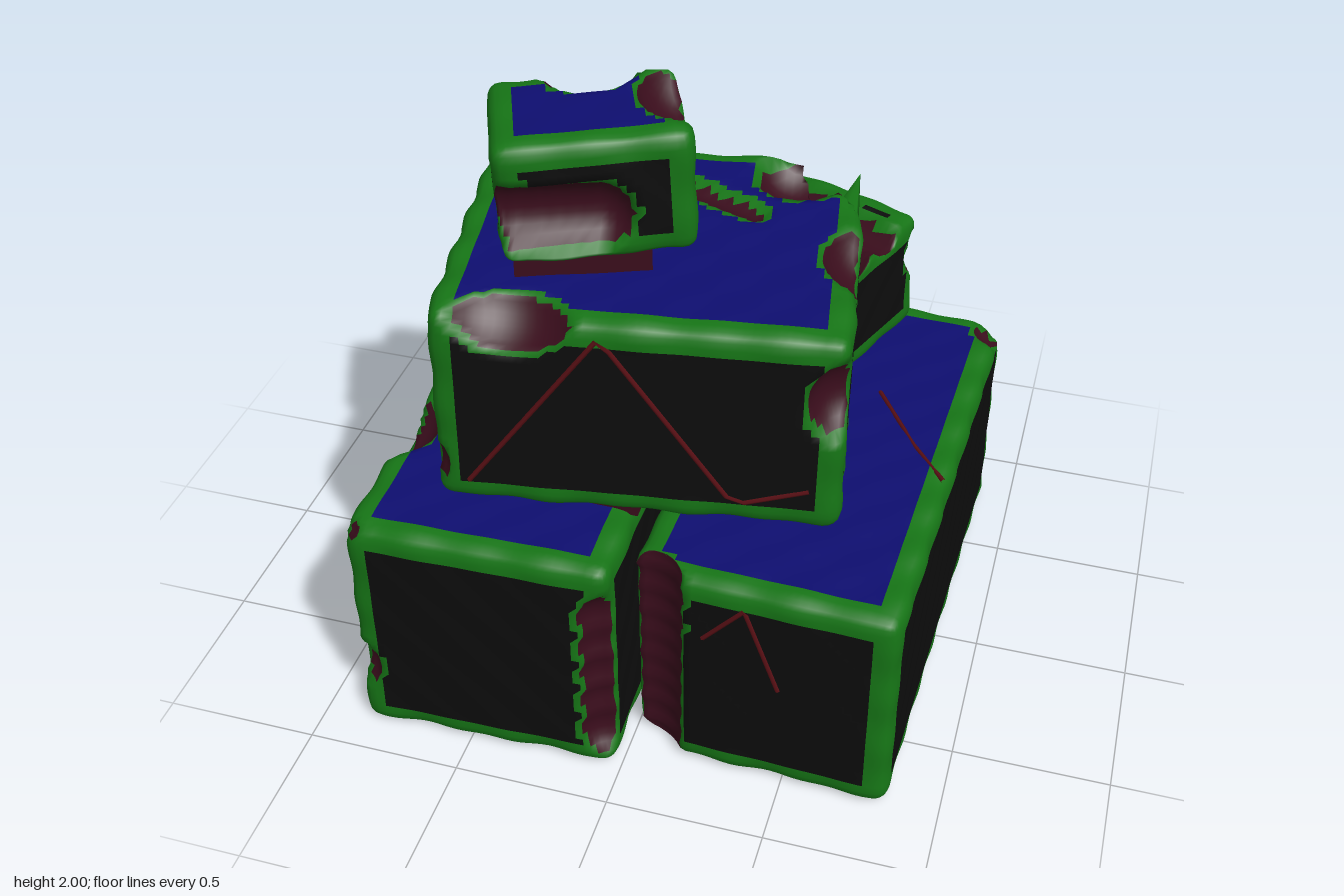
import * as THREE from 'three';
import { mergeVertices } from 'three/addons/utils/BufferGeometryUtils.js';

const COLORS = { face: 0x0d0d0d, rim: 0x167516, top: 0x0e0e70, chip: 0x3a0d1c, crack: 0x5a1015 };
const mat = {};
for (const k in COLORS) mat[k] = new THREE.MeshStandardMaterial({ color: COLORS[k] });

const V = (a) => new THREE.Vector3(...a);
const wobble = (p) => Math.sin(p.x * 23 + p.y * 17) * Math.sin(p.z * 29 + p.y * 13 + p.x * 7);

// Row of equal dents between two points
function row(a, b, n, r, dir) {
  const list = [];
  for (let i = 0; i < n; i++) list.push([V(a).lerp(V(b), i / (n - 1)).toArray(), r, dir]);
  return list;
}

// Worn stone block: rounded box with spherical chips [centre, radius, direction],
// split into faces, rims, top and chip surfaces
function block(name, { size, pos, turn, roll = 0, r = 0.05, dents = [], blueTop = false }) {
  const cell = 0.025;
  const half = V(size).multiplyScalar(0.5);
  let geo = new THREE.BoxGeometry(...size, ...size.map((s) => Math.round(s / cell)));
  geo.deleteAttribute('normal');
  geo.deleteAttribute('uv');
  geo = mergeVertices(geo, 1e-4);
  const centre = V(pos);
  const matrix = new THREE.Matrix4().makeRotationFromEuler(new THREE.Euler(0, turn, roll, 'YXZ')).setPosition(centre);
  const inner = half.clone().subScalar(r);
  const P = geo.attributes.position, p = new THREE.Vector3(), q = new THREE.Vector3();
  const kind = [];
  for (let i = 0; i < P.count; i++) {
    p.fromBufferAttribute(P, i);
    const gaps = ['x', 'y', 'z'].map((k) => half[k] - Math.abs(p[k])).sort((a, b) => a - b);
    kind[i] = gaps[1] < 0.07 ? 'rim' : blueTop && p.y > half.y - 0.01 ? 'top' : 'face';
    // Round the edges and wear them slightly
    q.copy(p).clamp(inner.clone().negate(), inner);
    p.sub(q).normalize().multiplyScalar(r + wobble(q) * (gaps[1] < 0.07 ? 0.006 : 0.002)).add(q);
    p.applyMatrix4(matrix);
    // Push points inside a chip to its far wall
    for (const [c, rad, dir] of dents) {
      const cv = V(c), d = (dir ? V(dir) : centre.clone().sub(cv)).normalize();
      q.copy(p).sub(cv);
      const gap = rad * rad - q.lengthSq();
      if (gap <= 0) continue;
      const along = q.dot(d);
      p.addScaledVector(d, -along + Math.sqrt(along * along + gap));
      kind[i] = 'chip';
    }
    P.setXYZ(i, p.x, Math.max(p.y, 0), p.z);
  }
  geo.computeVertexNormals();
  const parts = { face: [], rim: [], top: [], chip: [] };
  const idx = geo.index.array;
  for (let i = 0; i < idx.length; i += 3) {
    const tri = [idx[i], idx[i + 1], idx[i + 2]];
    const k = tri.map((v) => kind[v]);
    const same = k[0] === k[1] && k[1] === k[2];
    parts[same ? k[0] : 'rim'].push(...tri);
  }
  const group = new THREE.Group();
  group.name = name;
  for (const k in parts) {
    if (!parts[k].length) continue;
    const g = new THREE.BufferGeometry();
    g.setAttribute('position', P);
    g.setAttribute('normal', geo.attributes.normal);
    g.setIndex(parts[k]);
    const m = new THREE.Mesh(g, mat[k]);
    m.name = name + k[0].toUpperCase() + k.slice(1);
    group.add(m);
  }
  return group;
}

// Thin crack line following points on a surface
function crack(points) {
  const path = new THREE.CurvePath();
  for (let i = 1; i < points.length; i++) path.add(new THREE.LineCurve3(V(points[i - 1]), V(points[i])));
  const m = new THREE.Mesh(new THREE.TubeGeometry(path, 24, 0.008, 5), mat.crack);
  m.name = 'crack';
  return m;
}

export function createModel() {
  const model = new THREE.Group();
  model.name = 'stonePile';

  // Two long base blocks
  model.add(block('baseBlockRight', {
    size: [0.84, 0.82, 1.74], pos: [-0.46, 0.41, 0], turn: 0.023, blueTop: true,
    dents: [
      ...row([0.0, 0.15, 0.93], [0.0, 0.62, 0.93], 5, 0.14, [-0.7, 0, -0.7]),
      [[-0.9, 0.25, 0.93], 0.13, [0.7, 0, -0.7]],
      [[-0.93, 0.88, 0.36], 0.19, [0.7, -0.7, 0]],
      [[-0.02, 0.9, -0.6], 0.18, [-0.7, -0.7, 0]],
      [[-0.9, 0.86, 0.9], 0.12],
    ],
  }));
  model.add(block('baseBlockLeft', {
    size: [0.83, 0.77, 1.61], pos: [0.45, 0.385, -0.035], turn: -0.037, blueTop: true,
    dents: [
      ...row([0.04, 0.0, 0.8], [0.05, 0.77, 0.8], 9, 0.14, [0.5, 0, -0.8]),
      [[0.92, 0.83, -0.78], 0.14],
      [[0.05, 0.6, -0.88], 0.11, [0.7, 0, 0.7]],
    ],
  }));

  // Wide middle block with a broken rear corner and a grooved top
  model.add(block('middleBlock', {
    size: [1.21, 0.68, 1.03], pos: [-0.085, 1.2, 0.11], turn: 0.165, roll: -0.015, blueTop: true,
    dents: [
      [[0.5, 1.26, -0.46], 0.36, [-0.65, 0, 0.75]],
      ...row([-0.44, 1.57, -0.31], [0.17, 1.57, -0.08], 22, 0.06, [0, -1, 0]),
      [[-0.34, 1.65, 0.75], 0.24, [0, -0.7, -0.7]],
      [[0.63, 1.32, 0.54], 0.15, [-0.7, 0, -0.7]],
      [[0.6, 1.6, 0.06], 0.2, [-0.7, -0.7, 0]],
      [[0.25, 1.58, -0.33], 0.15, [0, -1, 0.3]],
      [[-0.66, 1.0, 0.76], 0.12, [0.7, 0, -0.7]],
      [[-0.82, 1.2, -0.33], 0.12],
    ],
  }));

  // Thin splinter overhanging the broken corner
  const splinter = new THREE.Mesh(new THREE.ConeGeometry(0.07, 0.36, 7, 4), mat.rim);
  splinter.name = 'splinter';
  splinter.scale.z = 0.55;
  splinter.position.set(0.415, 1.47, -0.3);
  splinter.rotation.set(-Math.PI / 2 + 0.08, 0, 0);
  model.add(splinter);

  // Fragment fallen behind the broken corner
  model.add(block('fallenFragment', {
    size: [0.57, 0.42, 0.47], pos: [0.255, 1.08, -0.5], turn: -0.36, r: 0.045,
    dents: [
      ...row([0.1, 1.31, -0.7], [0.52, 1.31, -0.42], 16, 0.075, [0, -1, 0]),
      [[0.3, 1.45, -0.28], 0.27, [0, -1, 0.2]],
      [[0.62, 1.15, -0.63], 0.1],
      ...row([0.28, 1.0, -0.79], [0.31, 1.18, -0.78], 7, 0.06, [-0.2, 0, 1]),
    ],
  }));

  // Small top block with a gouged front
  model.add(block('topBlock', {
    size: [0.57, 0.39, 0.44], pos: [-0.255, 1.79, 0.195], turn: 0.386, roll: 0.045, r: 0.045, blueTop: true,
    dents: [
      ...row([-0.42, 1.74, 0.51], [-0.16, 1.74, 0.42], 6, 0.115, [-0.1, 0, -1]),
      [[0.03, 2.06, 0.04], 0.2],
      [[-0.33, 2.06, -0.02], 0.17, [0, -0.7, 0.7]],
    ],
  }));

  // Thin bedding layers between the courses
  const beds = [
    ['upperBed', [0.4, 0.07, 0.42], [-0.3, 1.575, 0.2], 0.386],
    ['lowerBed', [0.2, 0.08, 0.9], [-0.13, 0.84, 0.11], 0.02],
  ];
  for (const [name, size, pos, turn] of beds) {
    const bed = new THREE.Mesh(new THREE.BoxGeometry(...size), mat.chip);
    bed.name = name;
    bed.position.set(...pos);
    bed.rotation.y = turn;
    model.add(bed);
  }

  // Cracks on the middle block's front and the base
  const front = (x, y) => [x, y, 0.618 - 0.1666 * x];
  model.add(
    crack([front(-0.5, 0.95), front(-0.1, 1.5), front(0.28, 0.93), front(0.5, 1.0)]),
    crack([[0.56, 0.767, -0.3], [0.72, 0.767, -0.05], [0.84, 0.767, 0.1]]),
    crack([[0.24, 0.55, 0.762], [0.37, 0.7, 0.767], [0.48, 0.4, 0.77]]),
    crack([[0.3, 0.6, -0.851], [0.45, 0.42, -0.846], [0.7, 0.55, -0.837]]),
    crack([[0.45, 0.42, -0.846], [0.42, 0.15, -0.847]]),
  );
  return model;
}
